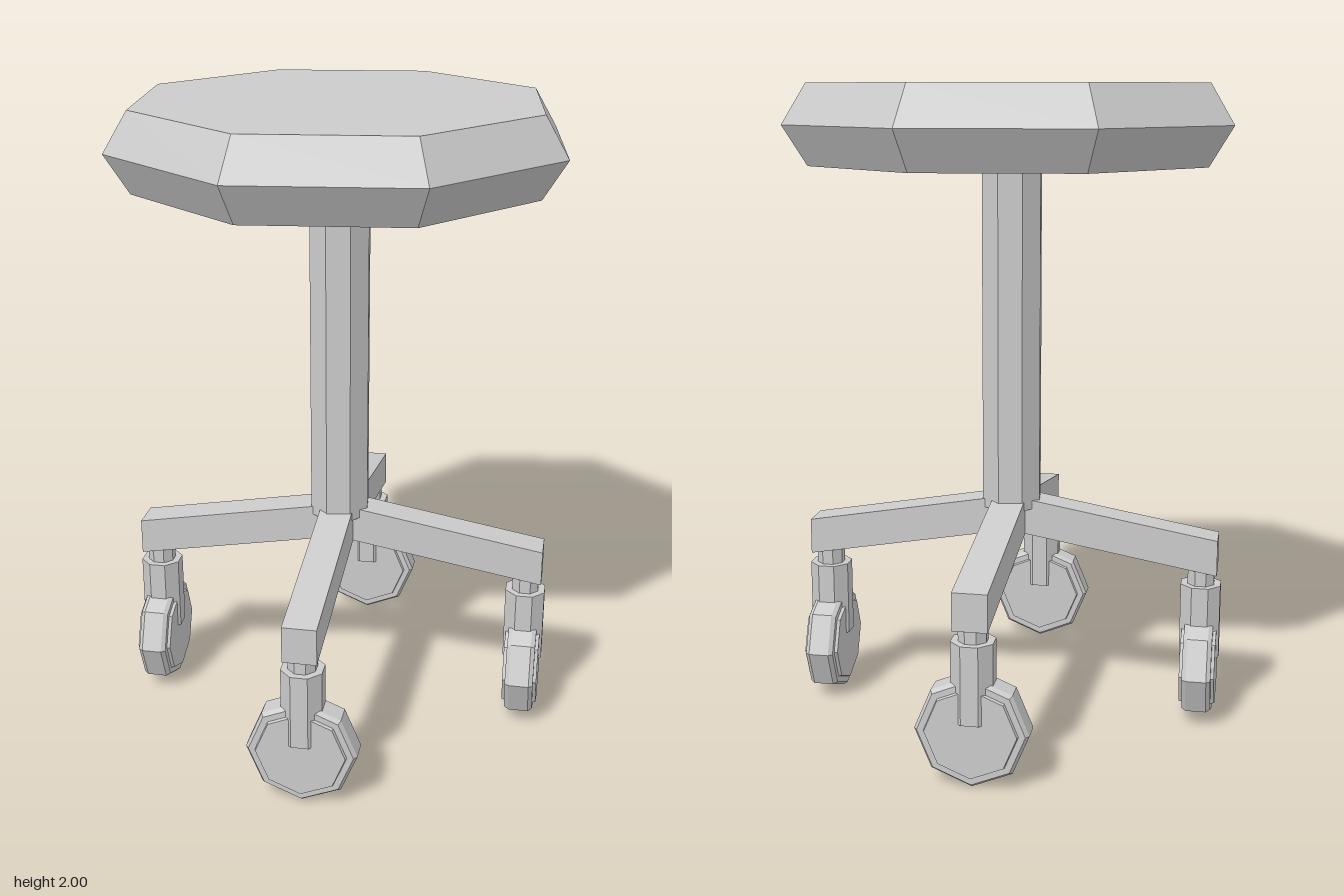
import * as THREE from 'three';

const material = new THREE.MeshStandardMaterial({ color: 0xcccccc, flatShading: true });

function part(name, geometry, parent) {
  const mesh = new THREE.Mesh(geometry, material);
  mesh.name = name;
  parent.add(mesh);
  return mesh;
}

// Eight-sided solid turned from [radius, height] pairs, bottom to top
function turned(profile) {
  return new THREE.LatheGeometry(profile.map(([r, y]) => new THREE.Vector2(r, y)), 8);
}

// Eight-sided upright post between two heights; turn shifts its corners
function post(radius, y0, y1, turn = 0) {
  return new THREE.CylinderGeometry(radius, radius, y1 - y0, 8, 1, false, turn)
    .translate(0, (y0 + y1) / 2, 0);
}

// Leg bar along +x that slopes down outwards and keeps vertical ends
function legGeometry() {
  const inner = 0.05, outer = 0.665;
  const geometry = new THREE.BoxGeometry(outer - inner, 0.115, 0.105);
  geometry.translate((inner + outer) / 2, 0, 0);
  const pos = geometry.attributes.position;
  for (let i = 0; i < pos.count; i++) {
    const t = (pos.getX(i) - inner) / (outer - inner);
    pos.setY(i, pos.getY(i) + THREE.MathUtils.lerp(0.645, 0.538, t));
  }
  return geometry;
}

function createCaster() {
  const caster = new THREE.Group();
  caster.name = 'caster';
  part('casterStem', post(0.045, 0.42, 0.51, Math.PI / 8), caster);
  part('casterHousing', post(0.068, 0.2, 0.44, Math.PI / 8), caster);
  // Wheel with bevelled rim and a raised disc on both faces
  const wheel = part('wheel', turned([
    [0, -0.055], [0.137, -0.055], [0.14, -0.045], [0.16, -0.045], [0.17, -0.032],
    [0.17, 0.032], [0.16, 0.045], [0.14, 0.045], [0.137, 0.055], [0, 0.055],
  ]), caster);
  wheel.rotation.z = Math.PI / 2;
  wheel.position.y = 0.17;
  return caster;
}

export function createModel() {
  const stool = new THREE.Group();
  stool.name = 'stool';

  part('seat', turned([[0, 1.76], [0.635, 1.76], [0.71, 1.88], [0.635, 2], [0, 2]]), stool);
  part('column', post(0.098, 0.67, 1.77), stool);

  // Four legs with casters, turned a little off the axes
  for (let i = 0; i < 4; i++) {
    const leg = new THREE.Group();
    leg.name = 'legAssembly';
    leg.rotation.y = THREE.MathUtils.degToRad(16) + i * Math.PI / 2;
    part('leg', legGeometry(), leg);
    const caster = createCaster();
    caster.position.x = 0.614;
    leg.add(caster);
    stool.add(leg);
  }
  return stool;
}
